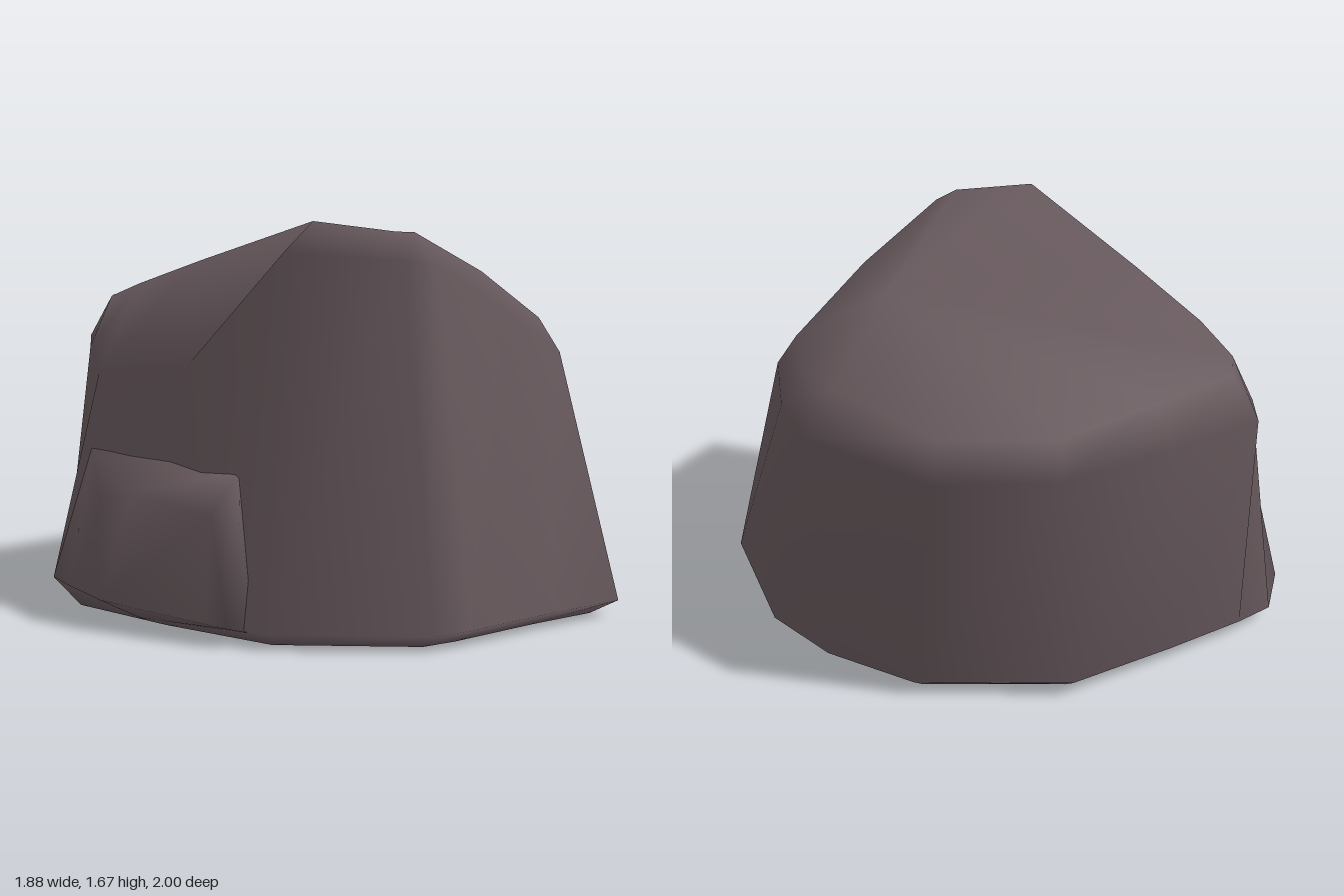
import * as THREE from 'three';
import { ConvexGeometry } from 'three/addons/geometries/ConvexGeometry.js';
import { mergeVertices } from 'three/addons/utils/BufferGeometryUtils.js';

// Columns around the boulder, counterclockwise from above: base, shoulder, top rim
const columns = [
  [[0.64, 0.07, 1.0], [0.6, 1.08, 0.71], [0.56, 1.22, 0.63]],
  [[0.89, 0.07, 0.45], [0.83, 1.1, 0.4], [0.75, 1.25, 0.35]],
  [[0.89, 0.07, 0.1], [0.94, 1.11, 0.13], [0.81, 1.28, 0.1]],
  [[0.77, 0.07, -0.29], [0.86, 1.14, -0.52], [0.77, 1.27, -0.45]],
  [[0.31, 0.07, -0.74], [0.47, 1.13, -0.83], [0.43, 1.27, -0.76]],
  [[-0.15, 0.07, -0.85], [-0.05, 1.1, -0.92], [-0.02, 1.28, -0.83]],
  [[-0.5, 0.07, -0.92], [-0.44, 1.1, -1.0], [-0.4, 1.28, -0.89]],
  [[-0.68, 0.06, -0.93], [-0.58, 1.08, -0.85], [-0.5, 1.29, -0.8]],
  [[-0.81, 0.13, -0.85], [-0.63, 1.0, -0.74], [-0.53, 1.36, -0.6]],
  [[-0.79, 0.07, -0.3], [-0.62, 1.05, -0.25], [-0.52, 1.48, -0.25]],
  [[-0.71, 0.07, 0.28], [-0.57, 1.55, 0.25], [-0.49, 1.67, 0.33]],
  [[-0.3, 0.07, 0.79], [-0.33, 1.53, 0.67], [-0.28, 1.63, 0.57]],
  [[-0.14, 0.07, 0.84], [-0.15, 1.5, 0.67], [-0.17, 1.62, 0.57]],
  [[0.3, 0.07, 0.92], [0.25, 1.29, 0.69], [0.2, 1.44, 0.61]],
];

function boulderGeometry() {
  const position = [], index = [], n = columns.length, levels = 4;
  for (const [base, shoulder, top] of columns) {
    // Bevelled underside edge, then the three rings
    position.push(base[0] * 0.91, 0.01, base[2] * 0.9, ...base, ...shoulder, ...top);
  }
  const under = n * levels, crown = under + 1;
  position.push(0, 0, 0, 0.32, 1.45, 0.335);
  for (let i = 0; i < n; i++) {
    const a = i * levels, b = ((i + 1) % n) * levels;
    for (let k = 0; k < levels - 1; k++) {
      index.push(a + k, b + k, b + k + 1, a + k, b + k + 1, a + k + 1);
    }
    index.push(a + 3, b + 3, crown, b, a, under);
  }
  const g = new THREE.BufferGeometry();
  g.setAttribute('position', new THREE.Float32BufferAttribute(position, 3));
  g.setIndex(index);
  g.computeVertexNormals();
  return g;
}

// Low rounded lump on the side, sunk into the boulder
function lumpGeometry() {
  const points = [
    [-0.94, 0.13, -0.42], [-0.89, 0.14, -0.66], [-0.81, 0.13, -0.85], [-0.82, 0.1, 0.05],
    [-0.78, 0.08, 0.14], [-0.86, 0.57, -0.32], [-0.84, 0.5, -0.52], [-0.78, 0.52, 0.05],
    [-0.73, 0.5, 0.16], [-0.72, 0.65, -0.3], [-0.67, 0.68, 0.1], [-0.7, 0.68, -0.72],
    [-0.74, 0.02, -0.4], [-0.68, 0.05, 0.2], [-0.55, 0.6, -0.3], [-0.55, 0.05, -0.3],
  ].map((p) => new THREE.Vector3(...p));
  let g = new ConvexGeometry(points);
  g.deleteAttribute('normal');
  g = mergeVertices(g);
  g.computeVertexNormals();
  return g;
}

export function createModel() {
  const stone = new THREE.MeshStandardMaterial({ color: 0x65575b });
  stone.name = 'stone';
  const group = new THREE.Group();
  group.name = 'rock';
  const add = (name, geometry) => {
    const mesh = new THREE.Mesh(geometry, stone);
    mesh.name = name;
    group.add(mesh);
  };
  add('boulder', boulderGeometry());
  add('sideLump', lumpGeometry());
  return group;
}
